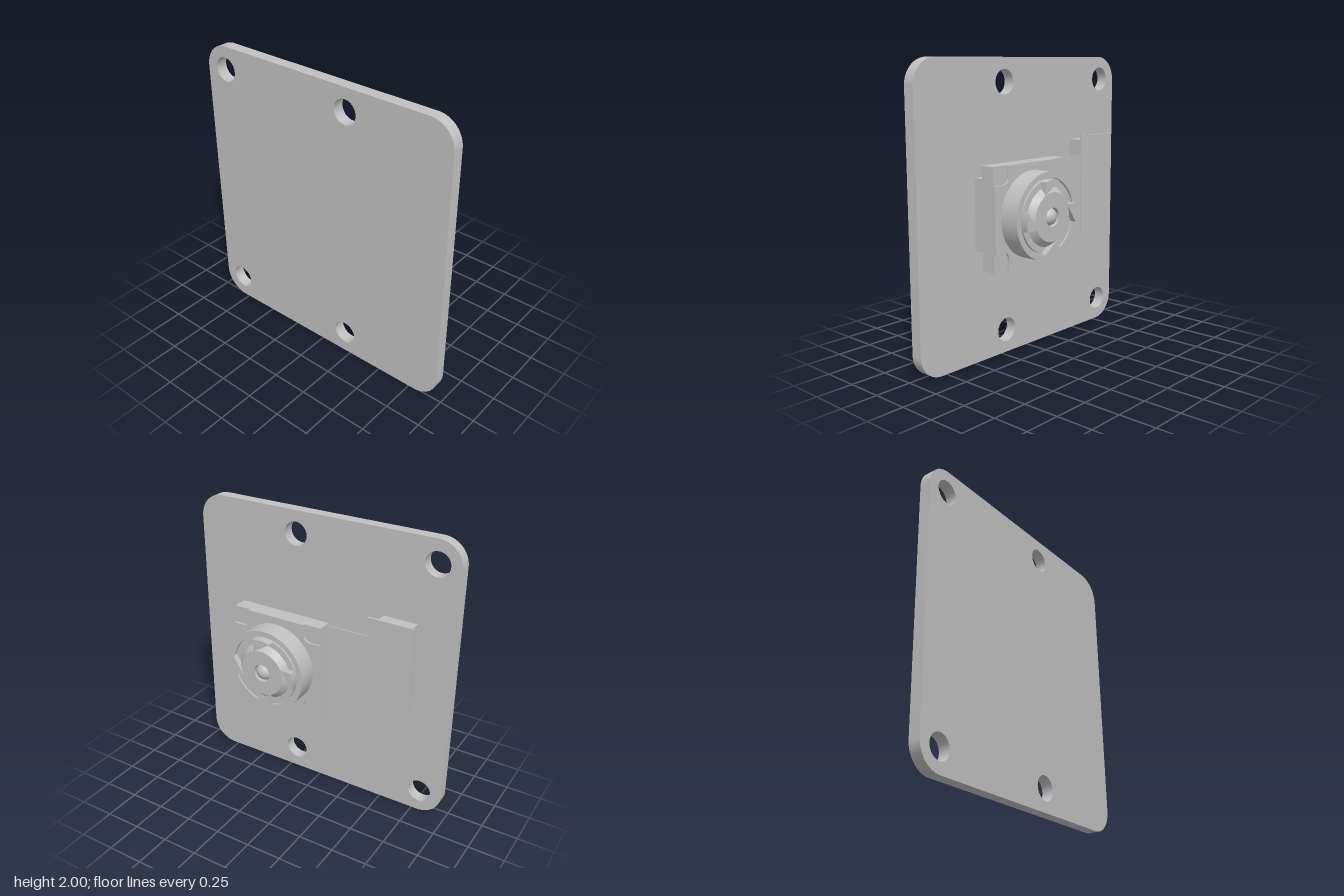
import * as THREE from 'three';
import { toCreasedNormals } from 'three/addons/utils/BufferGeometryUtils.js';

const grey = new THREE.MeshStandardMaterial({ color: 0xc0c0c0 });
grey.name = 'plain grey';

// Lens axis position
const LENS_Y = 1.0, LENS_Z = 0.205;

function add(parent, name, geometry) {
  const mesh = new THREE.Mesh(geometry, grey);
  mesh.name = name;
  parent.add(mesh);
  return mesh;
}

// Box given by its limits on each axis
function block(parent, name, [x0, x1], [y0, y1], [z0, z1]) {
  const mesh = add(parent, name, new THREE.BoxGeometry(x1 - x0, y1 - y0, z1 - z0));
  mesh.position.set((x0 + x1) / 2, (y0 + y1) / 2, (z0 + z1) / 2);
  return mesh;
}

// Extrude a shape drawn in (-z, y) along x, from x0 to x1
function plate(parent, name, shape, x0, x1) {
  const geo = new THREE.ExtrudeGeometry(shape, { depth: x1 - x0, bevelEnabled: false, curveSegments: 16 });
  geo.translate(0, 0, x0);
  geo.rotateY(Math.PI / 2);
  return add(parent, name, toCreasedNormals(geo, 0.6));
}

function boardShape() {
  const w = 0.96, h = 2, r = 0.17;
  const s = new THREE.Shape();
  s.absarc(w - r, r, r, -Math.PI / 2, 0);
  s.absarc(w - r, h - r, r, 0, Math.PI / 2);
  s.absarc(-w + r, h - r, r, Math.PI / 2, Math.PI);
  s.absarc(-w + r, r, r, Math.PI, Math.PI * 1.5);
  s.closePath();
  for (const z of [0.2, -0.8]) {
    for (const y of [0.16, 1.84]) {
      s.holes.push(new THREE.Path().absarc(-z, y, 0.083, 0, Math.PI * 2, true));
    }
  }
  return s;
}

// Square with a rounded notch cut out of every corner
function notchedShape() {
  const h = 0.337, n = 0.217, r = 0.05;
  const s = new THREE.Shape();
  for (let k = 0; k < 4; k++) {
    const c = Math.round(Math.cos(k * Math.PI / 2)), d = Math.round(Math.sin(k * Math.PI / 2));
    const p = (x, y) => [x * c - y * d, x * d + y * c];
    if (k === 0) s.moveTo(...p(h, n)); else s.lineTo(...p(h, n));
    s.lineTo(...p(n + r, n));
    s.quadraticCurveTo(...p(n, n), ...p(n, n + r));
    s.lineTo(...p(n, h));
  }
  s.closePath();
  return s;
}

// One spoke with a curved outer end
function armShape() {
  const w = 0.064, r = 0.238, a = Math.asin(w / r);
  const s = new THREE.Shape();
  s.moveTo(0.145, -w);
  s.absarc(0, 0, r, -a, a);
  s.lineTo(0.145, w);
  s.closePath();
  return s;
}

export function createModel() {
  const model = new THREE.Group();
  model.name = 'cameraModuleBoard';

  // Mounting board
  plate(model, 'board', boardShape(), -0.26, -0.18);

  // Connector, its backing plate and the flat cable
  block(model, 'connector', [-0.18, -0.05], [0.785, 1.42], [-0.7, -0.46]);
  block(model, 'connectorPlate', [-0.05, -0.035], [0.75, 1.455], [-0.74, -0.42]);
  block(model, 'flatCable', [-0.05, -0.044], [0.75, 1.32], [-0.42, -0.13]);

  // Camera housing
  block(model, 'spacer', [-0.18, -0.05], [0.76, 1.24], [0.08, 0.48]);
  block(model, 'housingBase', [-0.05, 0.05], [LENS_Y - 0.337, LENS_Y + 0.337], [LENS_Z - 0.337, LENS_Z + 0.337]);
  const lens = new THREE.Group();
  lens.name = 'lensAssembly';
  lens.position.set(0, LENS_Y, LENS_Z);
  model.add(lens);
  plate(lens, 'housingFront', notchedShape(), 0.05, 0.065);

  // Barrel with rim groove, conical hub and central hole
  const profile = [
    [0.287, 0.065], [0.287, 0.2], [0.25, 0.2], [0.25, 0.18], [0.238, 0.18], [0.238, 0.2],
    [0.196, 0.2], [0.16, 0.24], [0.062, 0.24], [0.062, 0.18], [0, 0.18],
  ].map(([r, x]) => new THREE.Vector2(r, x));
  const barrel = new THREE.LatheGeometry(profile, 64);
  barrel.rotateZ(-Math.PI / 2);
  add(lens, 'lensBarrel', toCreasedNormals(barrel, 0.5));

  // Four spokes around the hub
  for (let k = 0; k < 4; k++) {
    plate(lens, 'lensSpoke', armShape(), 0.2, 0.24).rotation.x = k * Math.PI / 2;
  }

  // Glass bead in the hub
  add(lens, 'lensBead', new THREE.SphereGeometry(0.06, 32, 20)).position.x = 0.196;

  return model;
}
